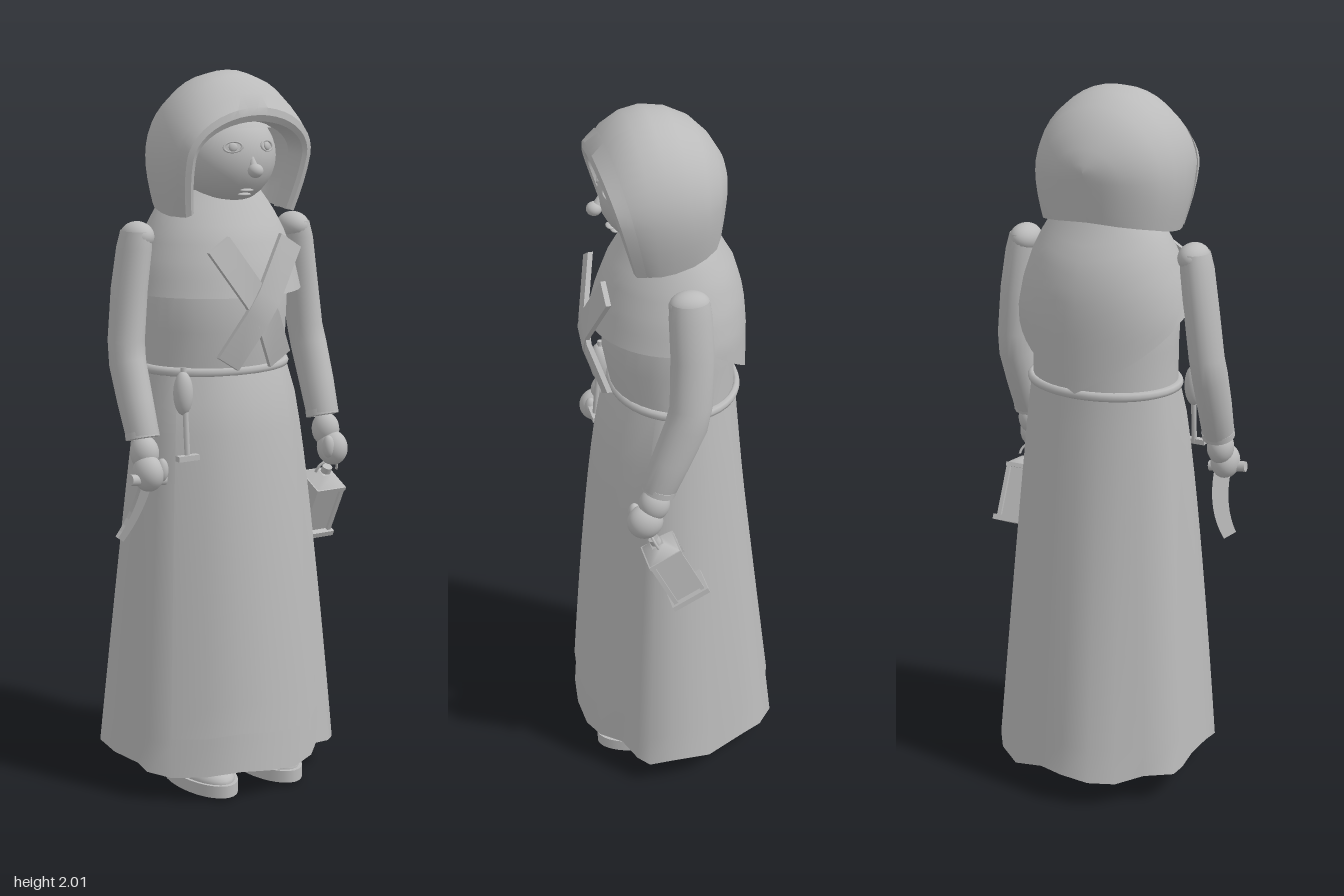
import * as THREE from 'three';
import { toCreasedNormals } from 'three/addons/utils/BufferGeometryUtils.js';

const V = (x, y, z) => new THREE.Vector3(x, y, z);
const lerp = THREE.MathUtils.lerp;

// Surface through rows of points; wrap joins the last column to the first
function loft(rows, wrap = true) {
  const n = rows[0].length, idx = [];
  for (let r = 0; r < rows.length - 1; r++) {
    for (let c = 0; c < (wrap ? n : n - 1); c++) {
      const a = r * n + c, b = r * n + (c + 1) % n;
      idx.push(a, a + n, b, b, a + n, b + n);
    }
  }
  const g = new THREE.BufferGeometry().setFromPoints(rows.flat());
  g.setIndex(idx);
  g.computeVertexNormals();
  return g;
}

// Oval ring point: half width, front depth, back depth
const oval = (a, y, rx, zf, zb) => V(rx * Math.sin(a), y, Math.cos(a) * (Math.cos(a) > 0 ? zf : zb));
const ring = (n, f) => Array.from({ length: n }, (_, i) => f((i / n) * Math.PI * 2));

// Interpolate a table of [y, ...values] sorted from high to low
function sample(table, y) {
  let i = 0;
  while (i < table.length - 2 && table[i + 1][0] > y) i++;
  const [p, q] = [table[i], table[i + 1]];
  return p.map((v, k) => lerp(v, q[k], (p[0] - y) / (p[0] - q[0])));
}

export function createModel() {
  const root = new THREE.Group();
  const grey = new THREE.MeshStandardMaterial({ color: 0xbbbbbb, side: THREE.DoubleSide });
  grey.name = 'plainGrey';
  const add = (name, geo, pos = [0, 0, 0], scale = [1, 1, 1], rot = [0, 0, 0], parent = root) => {
    const m = new THREE.Mesh(geo, grey);
    m.name = name;
    m.position.set(...pos);
    m.scale.set(...scale);
    m.rotation.set(...rot);
    parent.add(m);
    return m;
  };
  const ball = new THREE.SphereGeometry(1, 24, 16);

  // Skirt: oval waist falling to an uneven hem
  const hem = [[0, .298], [.09, .29], [.165, .265], [.22, .21], [.285, .18], [.32, .15], [.335, .09],
    [.335, .03], [.32, -.03], [.3, -.075], [.275, -.145], [.235, -.21], [.165, -.262], [.08, -.265],
    [0, -.3], [-.08, -.29], [-.15, -.255], [-.215, -.2], [-.29, -.155], [-.285, -.08], [-.28, 0],
    [-.295, .07], [-.3, .13], [-.25, .18], [-.175, .248], [-.09, .288]];
  const skirtPoint = (i, s, grow = 1) => {
    const [x, z] = hem[(i + hem.length) % hem.length];
    const a = Math.atan2(x, z), f = Math.pow(s, .8 - .25 * Math.cos(a));
    const w = oval(a, 0, .215, .172, .168);
    return V(lerp(w.x, x, f) * grow, 1.19 - s * (1.12 + .01 * Math.sin(i * 1.7)), lerp(w.z, z, f) * grow);
  };
  const steps = Array.from({ length: 13 }, (_, i) => i / 12);
  add('skirt', loft(steps.map(s => hem.map((_, i) => skirtPoint(i, s)))));
  add('apron', loft(steps.map(s =>
    [-3, -2, -1, 0, 1, 2, 3, 4].map(i => skirtPoint(i, s * .9, 1.02))), false));
  add('belt', new THREE.TorusGeometry(1, .06, 8, 40), [0, 1.19, 0], [.213, .172, .22], [Math.PI / 2, 0, 0]);

  // Bodice and shawl, the shawl falling to a point at the back
  const bodice = [[1.62, .15, .13, .12], [1.45, .215, .195, .165], [1.3, .207, .195, .165], [1.18, .21, .172, .165]];
  add('bodice', loft(bodice.map(([y, ...r]) => ring(32, a => oval(a, y, ...r)))));
  const drape = [[1.68, .13, .11, .1], [1.62, .175, .145, .13], [1.56, .205, .18, .165], [1.48, .233, .21, .187],
    [1.4, .25, .232, .194], [1.2, .25, .235, .195]];
  add('shawl', loft(steps.map(t => ring(48, a => {
    const back = Math.max(0, Math.abs(Math.PI - a) < 1.4 ? 1 - Math.abs(Math.PI - a) / 1.4 : 0);
    const y = lerp(1.68, 1.4 - .2 * back, t);
    const [, ...r] = sample(drape, y);
    return oval(a, y, ...r);
  }))));

  // Crossed chest bands, bent over the bust
  for (const s of [-1, 1]) {
    const path = [[.115, 1.545, .2], [.02, 1.4, .238], [-.02, 1.34, .238], [-.085, 1.22, .198]];
    const rows = path.map(([x, y, z]) => [[-1, 0], [1, 0], [1, 1], [-1, 1]].map(([u, d]) =>
      V(s * (x + u * .032), y - u * .02, z + d * .014 + (s > 0 ? .003 : 0))));
    const caps = [rows[0], ...rows, rows[3]];
    caps[0] = rows[0].map(() => rows[0][0].clone().lerp(rows[0][2], .5));
    caps[5] = rows[3].map(() => rows[3][0].clone().lerp(rows[3][2], .5));
    add(s > 0 ? 'leftChestBand' : 'rightChestBand', toCreasedNormals(loft(caps), .4));
  }

  // Hood: arches from the face opening to the back of the head
  const arch = (zb, zt, w, top, bot) => {
    const yc = Math.min(1.77, top - .02), pts = [];
    for (let i = 0; i <= 4; i++) pts.push([lerp(w * .88, w, Math.sin(i * Math.PI / 8)), lerp(bot, yc, i / 4)]);
    for (let i = 1; i < 20; i++) {
      const a = Math.PI * i / 20;
      pts.push([w * Math.cos(a), yc + (top - yc) * Math.sin(a)]);
    }
    for (let i = 4; i >= 0; i--) pts.push([-lerp(w * .88, w, Math.sin(i * Math.PI / 8)), lerp(bot, yc, i / 4)]);
    return pts.map(([x, y]) => V(x, y, lerp(zb, zt, (y - bot) / (top - bot))));
  };
  add('hood', loft([
    arch(.13, .21, .195, 1.905, 1.62), arch(.11, .175, .207, 1.955, 1.615), arch(.08, .125, .214, 1.988, 1.615),
    arch(.04, .07, .215, 2, 1.62), arch(-.01, .01, .207, 1.99, 1.63), arch(-.05, -.05, .187, 1.96, 1.64),
    arch(-.085, -.095, .153, 1.915, 1.648), arch(-.108, -.128, .1, 1.86, 1.654),
    arch(-.117, -.14, .05, 1.82, 1.658), arch(-.12, -.142, 0, 1.8, 1.66)], false));
  add('hoodRim', toCreasedNormals(loft([
    arch(.08, .14, .17, 1.865, 1.625), arch(.14, .215, .17, 1.868, 1.625), arch(.145, .225, .182, 1.885, 1.62),
    arch(.14, .222, .198, 1.905, 1.615), arch(.115, .19, .207, 1.94, 1.615)], false), .6));

  // Head and face
  add('head', ball, [0, 1.77, .065], [.138, .132, .135]);
  add('coif', new THREE.SphereGeometry(1, 28, 10, 0, Math.PI * 2, 0, 1.1), [0, 1.77, .06], [.15, .142, .142], [-.12, 0, 0]);
  add('noseBridge', new THREE.ConeGeometry(.016, .055, 12), [0, 1.76, .2], [1, 1, 1], [-.3, 0, 0]);
  add('noseTip', ball, [0, 1.737, .212], [.021, .019, .021]);
  for (const s of [-1, 1]) {
    const eye = new THREE.Group();
    eye.name = s > 0 ? 'leftEye' : 'rightEye';
    eye.position.set(s * .054, 1.8, .185);
    eye.rotation.set(-.2, s * .38, 0);
    root.add(eye);
    add('eyelid', new THREE.TorusGeometry(1, .15, 6, 20), [0, 0, 0], [.025, .014, .02], [0, 0, 0], eye);
    add('eyeball', ball, [0, 0, 0], [.012, .012, .006], [0, 0, 0], eye);
  }
  for (const y of [1.682, 1.67]) add('lip', ball, [0, y, .158 + (y - 1.67)], [.02, .005, .012]);

  // Arms, hands, legs and shoes
  for (const s of [-1, 1]) {
    const side = s > 0 ? 'left' : 'right';
    const arm = [[.258, 1.575, .02, .04, .052], [.265, 1.53, .02, .045, .058], [.28, 1.42, .018, .047, .059],
      [.295, 1.28, .025, .048, .058], [.3, 1.22, .04, .048, .056], [.3, 1.12, .08, .047, .052],
      [.298, 1.03, .115, .045, .046], [.298, 1.022, .118, .03, .03]];
    add(side + 'Sleeve', loft(arm.map(([x, y, z, rx, rz], k) =>
      ring(20, a => V(s * x + rx * Math.sin(a), y - (k > 3 ? .3 : 0) * -rz * Math.cos(a), z + rz * Math.cos(a))))));
    add(side + 'Shoulder', ball, [s * .255, 1.56, .02], [.043, .04, .056]);
    add(side + 'Cuff', new THREE.CylinderGeometry(.047, .047, .018, 20), [s * .298, 1.032, .113], [1, 1, 1], [-.3, 0, 0]);
    add(side + 'Wrist', ball, [s * .3, .985, .128], [.038, .048, .043]);
    add(side + 'Hand', ball, [s * .305, .935, .155], [.041, .05, .05]);
    add(side + 'Thumb', ball, [s * .275, .945, .178], [.017, .032, .018]);
    add(side + 'Leg', new THREE.CylinderGeometry(.05, .045, .6, 20), [s * .11, .34, .02]);
    add(side + 'Sole', new THREE.CylinderGeometry(1, 1, .035, 32), [s * .11, .0175, .105], [.079, 1, .157]);
    add(side + 'Shoe', ball, [s * .11, .035, .11], [.07, .045, .14]);
  }

  // Curved blade held in the right hand
  const blade = new THREE.Shape();
  blade.moveTo(-.012, 0);
  blade.quadraticCurveTo(-.012, -.1, -.058, -.165);
  blade.lineTo(-.028, -.19);
  blade.quadraticCurveTo(.035, -.12, .035, 0);
  add('blade', new THREE.ExtrudeGeometry(blade, { depth: .01, bevelEnabled: false, curveSegments: 8 }),
    [-.315, .91, .14], [1, 1, 1], [.45, .35, 0]);
  add('bladeHandle', new THREE.CylinderGeometry(.015, .015, .11, 12), [-.31, .918, .16], [1, 1, 1], [.3, 0, 1.45]);

  // Pouch and key hanging from the belt
  add('pouch', ball, [-.2, 1.145, .165], [.027, .06, .027]);
  add('keyCord', new THREE.CylinderGeometry(.008, .008, .25, 8), [-.197, 1.09, .172], [1, 1, 1], [-.08, 0, 0]);
  add('keyBit', new THREE.BoxGeometry(.065, .015, .02), [-.198, .97, .185]);

  // Lantern swinging from the left hand
  const lantern = new THREE.Group();
  lantern.name = 'lantern';
  lantern.position.set(.305, .9, .145);
  lantern.rotation.x = .46;
  root.add(lantern);
  const part = (name, geo, pos, rot) => add(name, geo, pos, [1, 1, 1], rot, lantern);
  part('lanternHandle', new THREE.TorusGeometry(.036, .004, 6, 16, Math.PI), [0, -.042, 0]);
  part('lanternCap', new THREE.CylinderGeometry(.015, .015, .02, 12), [0, -.038, 0]);
  part('lanternRoof', new THREE.CylinderGeometry(.025, .07, .03, 4).toNonIndexed(), [0, -.062, 0], [0, Math.PI / 4, 0]);
  part('lanternTop', new THREE.BoxGeometry(.1, .012, .1), [0, -.08, 0]);
  part('lanternGlass', new THREE.BoxGeometry(.078, .15, .078), [0, -.16, 0]);
  part('lanternBase', new THREE.BoxGeometry(.112, .016, .112), [0, -.24, 0]);
  for (const x of [-1, 1]) for (const z of [-1, 1]) {
    part('lanternPost', new THREE.BoxGeometry(.012, .155, .012), [x * .042, -.16, z * .042]);
  }
  return root;
}
